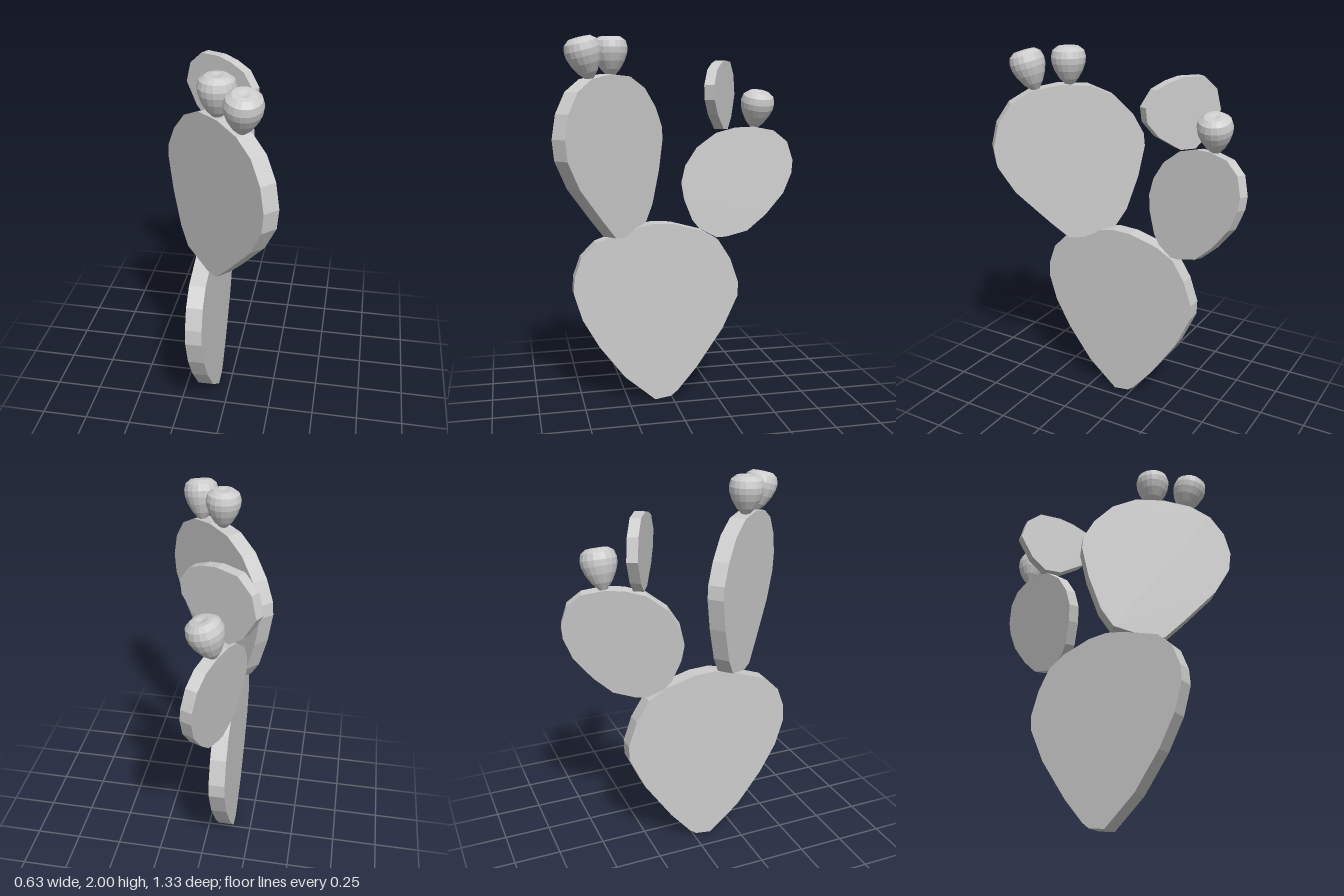
import * as THREE from 'three';

const flesh = new THREE.MeshStandardMaterial({ color: 0xcccccc });
flesh.name = 'paleGrey';

// Flat cactus pad: the outline is [horizontal, height], measured along one world
// axis; "off" and "k" convert it to distance along the pad's own direction.
function makePad(name, { at, dir, off, k, lean = 0, thick, outline }) {
  const shape = new THREE.Shape(outline.map(([h, y]) => new THREE.Vector2((h - off) / k, y - at[1])));
  const geo = new THREE.ExtrudeGeometry(shape, { depth: thick, bevelEnabled: false });
  geo.translate(0, 0, -thick / 2);
  const pad = new THREE.Mesh(geo, flesh);
  pad.name = name;
  pad.position.set(...at);
  pad.rotation.order = 'YXZ';
  pad.rotation.y = Math.atan2(-dir[1], dir[0]);
  pad.rotation.x = lean;
  return pad;
}

// Pear-shaped fruit standing on its narrow end, pointing from bottom to top
function makeFruit(name, bottom, top) {
  const profile = [[0, 0], [0.018, 0], [0.05, 0.035], [0.075, 0.078], [0.088, 0.115], [0.091, 0.145],
    [0.082, 0.178], [0.055, 0.198], [0.03, 0.2], [0, 0.192]].map(([r, y]) => new THREE.Vector2(r, y));
  const geo = new THREE.LatheGeometry(profile, 18).toNonIndexed();
  geo.computeVertexNormals();
  const fruit = new THREE.Mesh(geo, flesh);
  fruit.name = name;
  const a = new THREE.Vector3(...bottom);
  const axis = new THREE.Vector3(...top).sub(a);
  fruit.position.copy(a);
  fruit.scale.y = axis.length() / 0.2;
  fruit.quaternion.setFromUnitVectors(new THREE.Vector3(0, 1, 0), axis.normalize());
  return fruit;
}

export function createModel() {
  const cactus = new THREE.Group();
  cactus.name = 'cactus';

  // Large pad at the foot
  cactus.add(makePad('basePad', {
    at: [-0.106, 0, 0], dir: [0, 1], off: 0, k: 1, thick: 0.085,
    outline: [[0.1, 0.005], [0.01, 0.018], [-0.03, 0.05], [-0.14, 0.18], [-0.29, 0.4], [-0.375, 0.585],
      [-0.377, 0.665], [-0.33, 0.8], [-0.26, 0.91], [-0.165, 0.965], [0, 1.01], [0.11, 1.015],
      [0.22, 0.99], [0.42, 0.92], [0.5, 0.84], [0.54, 0.73], [0.545, 0.645], [0.5, 0.495],
      [0.41, 0.335], [0.27, 0.15]],
  }));

  // Tall pad growing from the front shoulder
  cactus.add(makePad('frontPad', {
    at: [0, 0.96, 0.34], dir: [0.695, 0.72], off: -0.03, k: 0.695, thick: 0.085,
    outline: [[-0.315, 1.46], [-0.31, 1.53], [-0.27, 1.635], [-0.2, 1.74], [-0.11, 1.8], [0, 1.81],
      [0.105, 1.785], [0.18, 1.725], [0.23, 1.62], [0.25, 1.5], [0.24, 1.395], [0.18, 1.25],
      [0.06, 1.07], [-0.015, 0.965], [-0.07, 0.958], [-0.2, 1.01], [-0.245, 1.105], [-0.29, 1.29]],
  }));

  // Round pad on the back shoulder, leaning slightly
  cactus.add(makePad('backPad', {
    at: [-0.094, 1.27, -0.375], dir: [0.295, -0.955], off: -0.366, k: -0.955, lean: -0.105, thick: 0.06,
    outline: [[-0.26, 0.92], [-0.17, 0.965], [-0.13, 1.015], [-0.085, 1.13], [-0.07, 1.22], [-0.09, 1.315],
      [-0.15, 1.415], [-0.25, 1.495], [-0.35, 1.525], [-0.445, 1.53], [-0.55, 1.51], [-0.62, 1.45],
      [-0.65, 1.35], [-0.645, 1.28], [-0.605, 1.17], [-0.515, 1.05], [-0.42, 0.96], [-0.31, 0.925]],
  }));

  // Small young pad on top of the back pad
  cactus.add(makePad('smallPad', {
    at: [-0.103, 1.51, -0.272], dir: [0.868, 0.497], off: -0.293, k: 0.497, thick: 0.054,
    outline: [[-0.29, 1.885], [-0.35, 1.88], [-0.39, 1.81], [-0.405, 1.7], [-0.37, 1.58], [-0.33, 1.515],
      [-0.285, 1.52], [-0.22, 1.6], [-0.185, 1.68], [-0.18, 1.755], [-0.21, 1.835], [-0.25, 1.868]],
  }));

  // Fruits along the pad rims
  cactus.add(
    makeFruit('frontFruitInner', [-0.012, 1.8, 0.335], [-0.012, 2, 0.337]),
    makeFruit('frontFruitOuter', [0.12, 1.785, 0.455], [0.138, 1.985, 0.508]),
    makeFruit('backFruit', [-0.105, 1.525, -0.466], [-0.05, 1.72, -0.476]),
  );
  return cactus;
}
